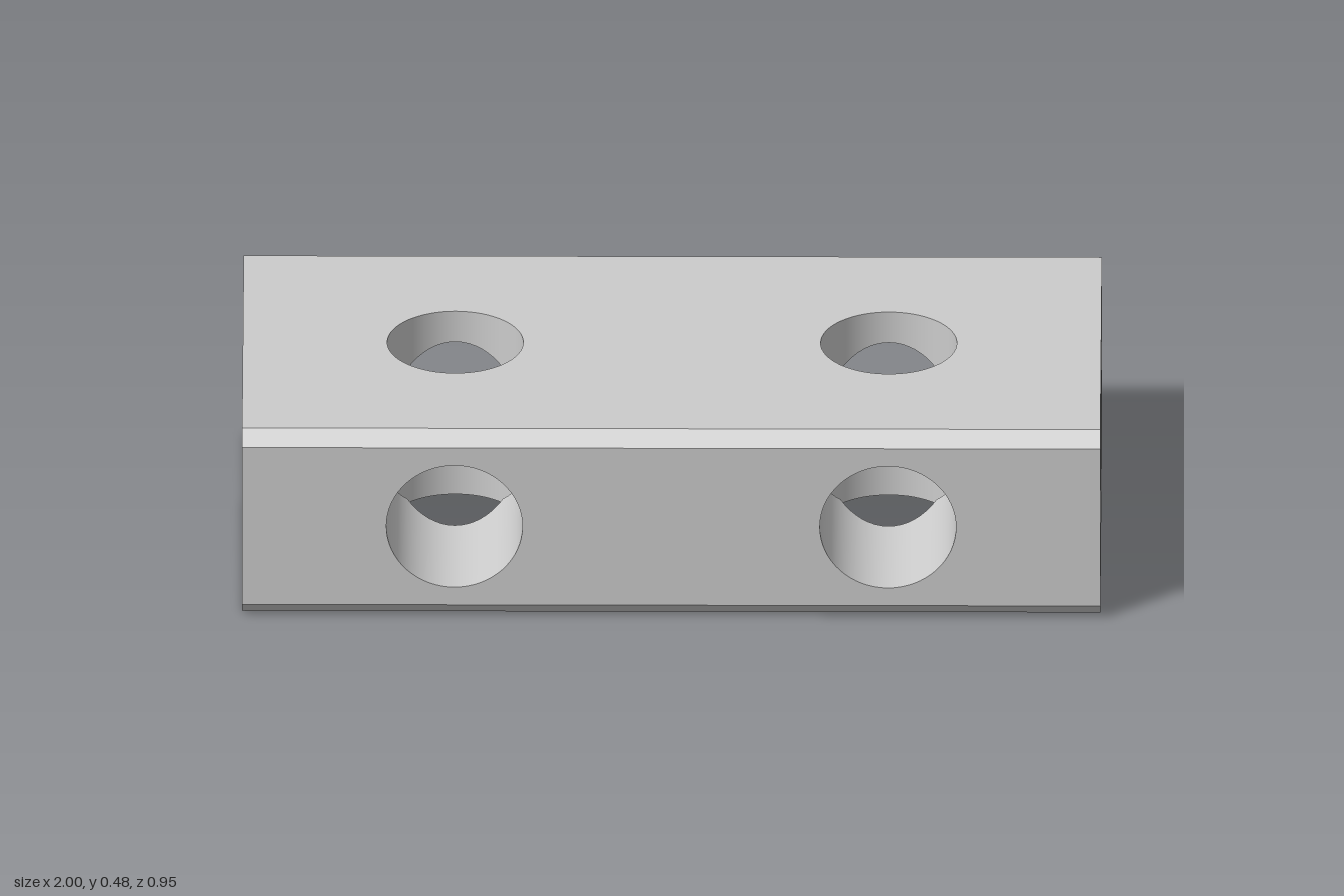
import * as THREE from 'three';

const W = 2, H = 0.478, D = 0.953;   // block size
const C = 0.034;                     // chamfer on the long edges
const R = 0.159, X = 0.505;          // bore radius and distance of the crossings from the middle
const REACH = 0.175;                 // straight length of the blind bores past a crossing
const SIDES = 64;

const material = new THREE.MeshStandardMaterial({ color: 0xcccccc });

function mesh(name, geometry) {
  const m = new THREE.Mesh(geometry, material);
  m.name = name;
  return m;
}

// Flat face from an outline with round holes at the given x positions
function face(name, outline, holes) {
  const shape = new THREE.Shape(outline.map(([x, y]) => new THREE.Vector2(x, y)));
  for (const x of holes) {
    shape.holes.push(new THREE.Path().absarc(x, 0, R, 0, Math.PI * 2, true));
  }
  return mesh(name, new THREE.ShapeGeometry(shape, SIDES / 2));
}

const rectangle = (w, h) => [[-w / 2, -h / 2], [w / 2, -h / 2], [w / 2, h / 2], [-w / 2, h / 2]];

// Turn a round geometry so that it is seen from within
function insideOut(geometry) {
  geometry.scale(-1, 1, 1);
  const n = geometry.attributes.normal;
  for (let i = 0; i < n.array.length; i++) n.array[i] *= -1;
  return geometry;
}

// Bore wall along +y, its inner end cut where the equal crossing bores meet it
function boreWall(name, length) {
  const geometry = new THREE.CylinderGeometry(R, R, 1, SIDES, 1, true);
  const p = geometry.attributes.position;
  for (let i = 0; i < p.count; i++) {
    const cut = Math.max(Math.abs(p.getX(i)), Math.abs(p.getZ(i)));
    p.setY(i, p.getY(i) > 0 ? length : cut);
  }
  return mesh(name, insideOut(geometry));
}

function aim(object, x, y, z) {
  object.quaternion.setFromUnitVectors(new THREE.Vector3(0, 1, 0), new THREE.Vector3(x, y, z));
  return object;
}

// Three bores meeting at one crossing; the one along x is blind with a round end
function crossing(side) {
  const g = new THREE.Group();
  g.name = side > 0 ? 'leftBores' : 'rightBores';
  g.position.x = side * X;
  for (const s of [1, -1]) {
    g.add(aim(boreWall('verticalBore', H / 2), 0, s, 0));
    g.add(aim(boreWall('crossBore', D / 2), 0, 0, s));
  }
  g.add(aim(boreWall('endBore', W / 2 - X), side, 0, 0));
  const blind = new THREE.Group();
  blind.name = 'blindEnd';
  const dome = mesh('boreDome',
    insideOut(new THREE.SphereGeometry(R, SIDES, 16, 0, Math.PI * 2, 0, Math.PI / 2)));
  dome.position.y = REACH;
  blind.add(boreWall('blindBore', REACH), dome);
  g.add(aim(blind, -side, 0, 0));
  return g;
}

export function createModel() {
  const model = new THREE.Group();
  model.name = 'drilledBlock';
  const block = new THREE.Group();
  block.name = 'block';
  block.position.y = H / 2;
  model.add(block);

  const h = H / 2, d = D / 2;
  const endOutline = [[-d + C, -h], [d - C, -h], [d, -h + C], [d, h - C],
    [d - C, h], [-d + C, h], [-d, h - C], [-d, -h + C]];

  for (const s of [1, -1]) {
    // Top and bottom
    const flat = face(s > 0 ? 'topFace' : 'bottomFace', rectangle(W, D - 2 * C), [-X, X]);
    flat.rotation.x = -s * Math.PI / 2;
    flat.position.y = s * h;
    // Front and back
    const wall = face(s > 0 ? 'frontFace' : 'backFace', rectangle(W, H - 2 * C), [-X, X]);
    wall.rotation.y = s > 0 ? 0 : Math.PI;
    wall.position.z = s * d;
    // Ends
    const end = face(s > 0 ? 'leftEnd' : 'rightEnd', endOutline, [0]);
    end.rotation.y = s * Math.PI / 2;
    end.position.x = s * W / 2;
    block.add(flat, wall, end, crossing(s));

    // Chamfers along the upper and lower long edges
    for (const t of [1, -1]) {
      const chamfer = mesh('chamfer', new THREE.PlaneGeometry(W, C * Math.SQRT2));
      chamfer.rotation.x = -Math.atan2(s, t);
      chamfer.position.set(0, s * (h - C / 2), t * (d - C / 2));
      block.add(chamfer);
    }
  }
  return model;
}
